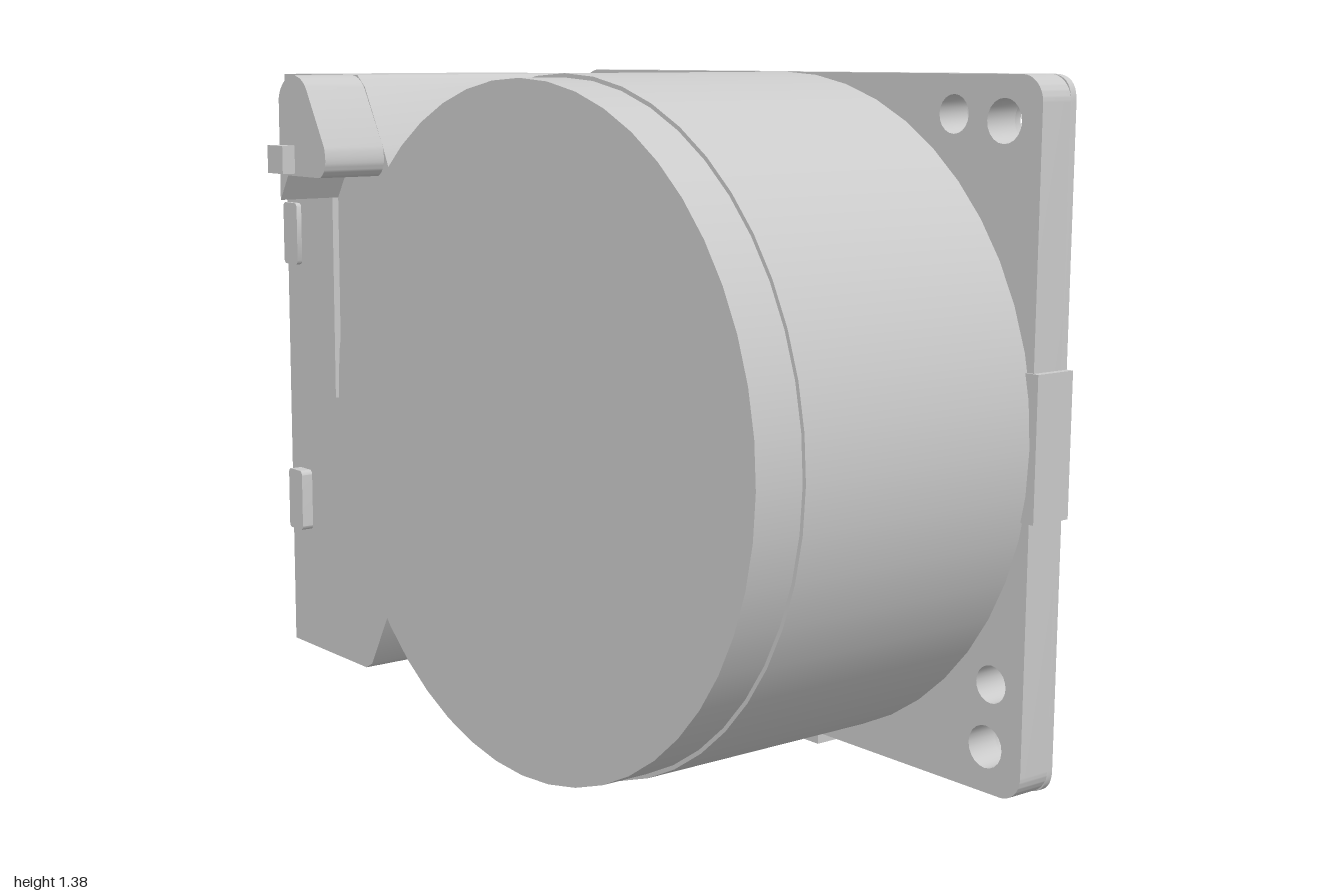
import * as THREE from 'three';
import { toCreasedNormals } from 'three/addons/utils/BufferGeometryUtils.js';

const CX = 0.3, CY = 0.7; // drum axis

export function createModel() {
  const model = new THREE.Group();
  const material = new THREE.MeshStandardMaterial({ color: 0xcccccc });

  function add(name, geometry, x = 0, y = 0, z = 0) {
    const mesh = new THREE.Mesh(geometry, material);
    mesh.name = name;
    mesh.position.set(x, y, z);
    model.add(mesh);
    return mesh;
  }
  function box(name, x0, x1, y0, y1, z0, z1) {
    return add(name, new THREE.BoxGeometry(x1 - x0, y1 - y0, z1 - z0),
      (x0 + x1) / 2, (y0 + y1) / 2, (z0 + z1) / 2);
  }
  // Extrudes a front outline between two depths, with an optional rounded front edge
  function slab(name, shape, z0, z1, bevel = 0) {
    const geometry = new THREE.ExtrudeGeometry(shape, {
      depth: z1 - z0 - 2 * bevel, curveSegments: 10, bevelEnabled: bevel > 0,
      bevelThickness: bevel, bevelSize: bevel, bevelOffset: -bevel, bevelSegments: 4,
    });
    geometry.translate(0, 0, z0 + bevel);
    return add(name, toCreasedNormals(geometry, 0.6));
  }
  const outline = (points) => new THREE.Shape(points.map(([x, y]) => new THREE.Vector2(x, y)));

  function roundedRect(x0, x1, y0, y1, r) {
    const s = new THREE.Shape();
    s.absarc(x1 - r, y0 + r, r, -Math.PI / 2, 0);
    s.absarc(x1 - r, y1 - r, r, 0, Math.PI / 2);
    s.absarc(x0 + r, y1 - r, r, Math.PI / 2, Math.PI);
    s.absarc(x0 + r, y0 + r, r, Math.PI, Math.PI * 1.5);
    s.closePath();
    return s;
  }

  // Mounting holes: x, y, radius
  const holes = [
    [-0.295, 1.295, 0.042], [-0.16, 1.295, 0.027], [-0.295, 0.11, 0.042],
    [0.765, 1.305, 0.037], [0.89, 1.295, 0.042], [0.9, 0.235, 0.037], [0.89, 0.11, 0.042],
  ];
  function drill(shape, side = 0) {
    for (const [x, y, r] of holes) {
      if (side && Math.sign(x - CX) !== side) continue;
      const hole = new THREE.Path();
      hole.absarc(x, y, r, 0, Math.PI * 2, true);
      shape.holes.push(hole);
    }
    return shape;
  }

  // Mounting plate with two raised pads around a shallow round recess behind
  slab('mountingPlate', drill(roundedRect(-0.38, 0.98, 0.02, 1.38, 0.05)), -0.385, -0.31);
  for (const side of [-1, 1]) {
    const px = (u) => CX + side * u;
    const pad = new THREE.Shape();
    pad.moveTo(px(0.135), 0.02);
    pad.lineTo(px(0.63), 0.02);
    pad.quadraticCurveTo(px(0.68), 0.02, px(0.68), 0.07);
    pad.lineTo(px(0.68), 1.33);
    pad.quadraticCurveTo(px(0.68), 1.38, px(0.63), 1.38);
    pad.lineTo(px(0.135), 1.38);
    const a0 = Math.acos(0.135 / 0.58);
    for (let i = 0; i <= 32; i++) {
      const a = a0 * (1 - i / 16);
      pad.lineTo(px(0.58 * Math.cos(a)), CY + 0.58 * Math.sin(a));
    }
    pad.closePath();
    slab('rearPad', drill(pad, side), -0.4, -0.385);
  }
  box('sideTab', 0.96, 0.995, 0.56, 0.84, -0.4, -0.305);
  box('bottomTab', 0.16, 0.44, 0.0, 0.04, -0.385, -0.3);

  // Drum body and its slightly smaller front cap
  function drum(name, r, z0, z1) {
    const g = new THREE.CylinderGeometry(r, r, z1 - z0, 48);
    g.rotateX(Math.PI / 2);
    add(name, g, CX, CY, (z0 + z1) / 2);
  }
  drum('drumBody', 0.68, -0.33, 0.25);
  drum('drumCap', 0.672, 0.24, 0.355);

  // Locating pin on the plate
  const pin = new THREE.CylinderGeometry(0.045, 0.045, 0.04, 24);
  pin.rotateX(Math.PI / 2);
  add('locatingPin', pin, -0.15, 0.065, -0.3);

  // Connector housing with cut right corners
  slab('connectorHousing', outline([
    [-0.81, 0.04], [-0.49, 0.04], [-0.465, 0.055], [-0.39, 0.19], [-0.37, 0.23],
    [-0.37, 1.18], [-0.39, 1.22], [-0.46, 1.345], [-0.49, 1.37], [-0.81, 1.37],
  ]), -0.375, 0.225);

  // Neck joining the housing to the drum
  slab('neck', outline([
    [-0.5, 0.2], [-0.2, 0.2], [-0.14, 0.17], [0.1, 0.17],
    [0.1, 1.23], [-0.14, 1.23], [-0.2, 1.2], [-0.5, 1.2],
  ]), -0.36, 0.21, 0.05);

  // Ridge along the upper corner of the housing
  const ridge = new THREE.Shape();
  ridge.moveTo(-0.58, 1.1);
  ridge.lineTo(-0.545, 1.155);
  ridge.lineTo(-0.41, 1.155);
  ridge.quadraticCurveTo(-0.375, 1.17, -0.39, 1.22);
  ridge.lineTo(-0.46, 1.34);
  ridge.quadraticCurveTo(-0.48, 1.37, -0.52, 1.37);
  ridge.quadraticCurveTo(-0.57, 1.36, -0.58, 1.32);
  ridge.closePath();
  slab('ridge', ridge, -0.32, 0.37);
  box('ridgeLatch', -0.58, -0.515, 1.16, 1.22, 0.2, 0.4);

  // Front cover panel, clips and the small boss beside the drum
  slab('coverPanel', outline([
    [-0.58, 0.65], [-0.68, 0.65], [-0.7, 0.7], [-0.75, 0.71], [-0.76, 0.75],
    [-0.76, 1.29], [-0.73, 1.31], [-0.73, 1.36], [-0.58, 1.36],
  ]), 0.2, 0.24);
  slab('upperClip', roundedRect(-0.78, -0.72, 0.94, 1.08, 0.01), 0.2, 0.252);
  slab('lowerClip', roundedRect(-0.78, -0.72, 0.32, 0.46, 0.01), 0.2, 0.252);
  slab('drumBoss', roundedRect(-0.49, -0.34, 0.65, 0.75, 0.045), 0.1, 0.245);

  // Fittings on the side face: outlines drawn in (z, y) and pushed outwards to x = -reach
  function sideSlab(name, shape, reach) {
    const g = new THREE.ExtrudeGeometry(shape, {
      depth: reach - 0.8, bevelEnabled: false, curveSegments: 6,
    });
    g.rotateY(-Math.PI / 2);
    add(name, toCreasedNormals(g, 0.6), -0.8);
  }
  function sidePlug(name, z, y, r, reach, sides) {
    const g = new THREE.CylinderGeometry(r, r, reach - 0.8, sides);
    g.rotateZ(Math.PI / 2);
    add(name, sides < 12 ? toCreasedNormals(g, 0.3) : g, -(reach + 0.8) / 2, y, z);
  }
  sideSlab('upperSocketFlange', roundedRect(-0.32, 0.06, 1.13, 1.31, 0.07), 0.83);
  sideSlab('upperSocket', roundedRect(-0.28, 0.04, 1.14, 1.3, 0.05), 0.9);
  sideSlab('lowerSocketFlange', roundedRect(-0.33, 0.12, 0.86, 1.03, 0.07), 0.83);
  sideSlab('lowerSocket', roundedRect(-0.28, 0.1, 0.87, 1.02, 0.05), 0.9);
  sidePlug('roundPlug', -0.17, 0.69, 0.085, 0.875, 24);
  sidePlug('hexPlug', 0.07, 0.71, 0.065, 0.87, 6);
  sideSlab('powerPlate', roundedRect(-0.365, -0.04, 0.06, 0.59, 0.03), 0.825);
  sidePlug('powerSocket', -0.22, 0.395, 0.14, 0.865, 8);
  box('powerBlade', -1.0, -0.85, 0.39, 0.402, -0.28, -0.165);
  sideSlab('sidePanel', roundedRect(-0.02, 0.18, 0.33, 0.59, 0.03), 0.835);
  sidePlug('hexBolt', -0.04, 0.16, 0.052, 0.88, 6);
  sidePlug('hexBolt', 0.13, 0.16, 0.052, 0.88, 6);

  return model;
}
